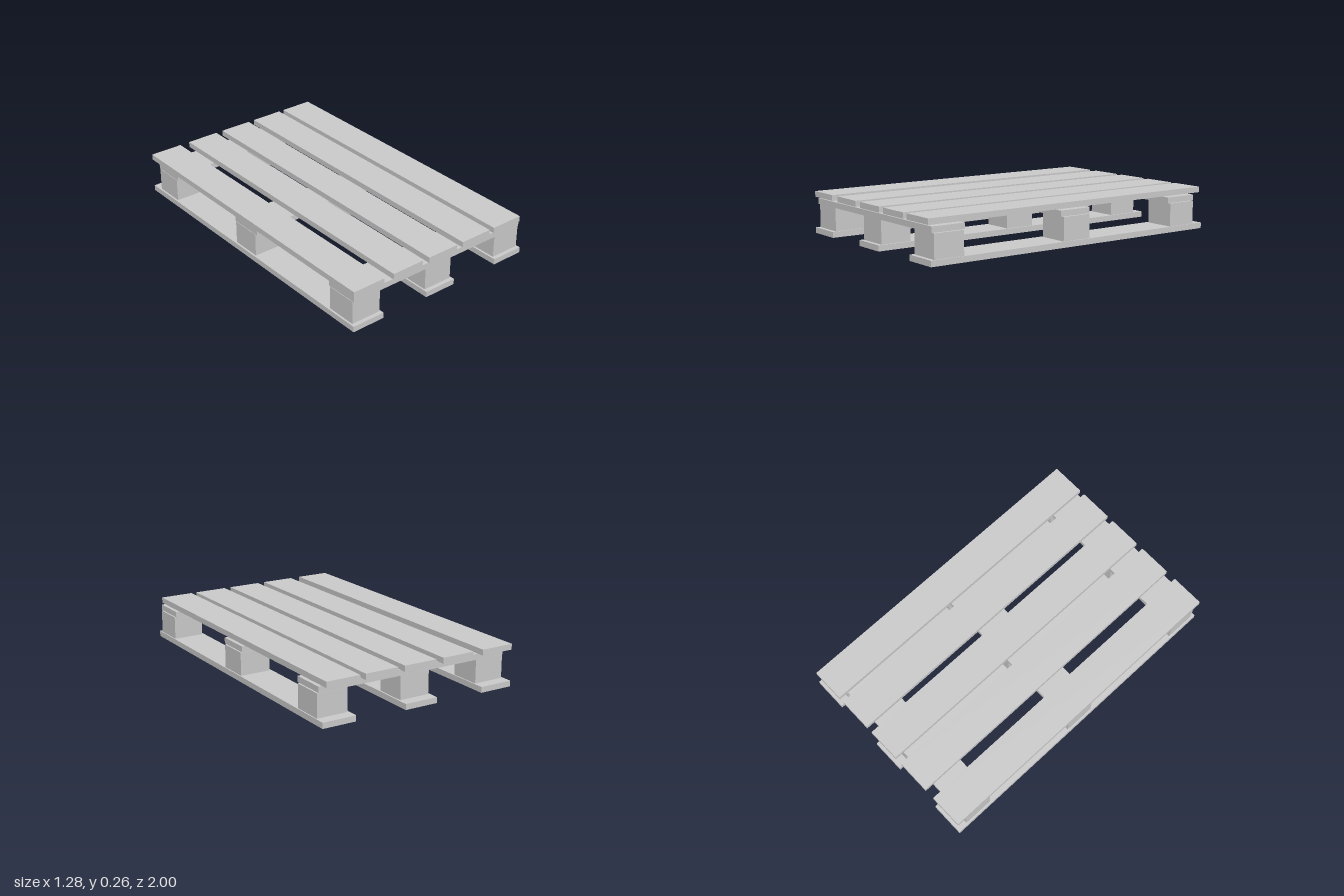
import * as THREE from 'three';

const material = new THREE.MeshStandardMaterial({ color: 0xcccccc, flatShading: true });

// Adds a box given by its size and centre
function addBox(parent, name, [w, h, d], [x, y, z]) {
  const mesh = new THREE.Mesh(new THREE.BoxGeometry(w, h, d), material);
  mesh.name = name;
  mesh.position.set(x, y, z);
  parent.add(mesh);
}

export function createModel() {
  const pallet = new THREE.Group();
  pallet.name = 'pallet';

  const boardWidth = 0.212;
  const boardThickness = 0.035;

  // Long deck boards on top, slightly unevenly spaced
  for (const x of [-0.536, -0.257, 0.004, 0.26, 0.507]) {
    addBox(pallet, 'deckBoard', [boardWidth, boardThickness, 2], [x, 0.24, 0]);
  }

  // Cross boards under the deck
  for (const z of [-0.832, 0.005, 0.879]) {
    addBox(pallet, 'crossBoard', [1.253, boardThickness, boardWidth], [-0.003, 0.197, z]);
  }

  // Three rows of spacer blocks
  for (const x of [-0.534, -0.007, 0.534]) {
    for (const z of [-0.837, -0.001, 0.879]) {
      addBox(pallet, 'spacerBlock', [0.192, 0.142, 0.192], [x, 0.106, z]);
    }
  }

  // Bottom runners
  for (const x of [-0.536, -0.007, 0.531]) {
    addBox(pallet, 'bottomRunner', [boardWidth, boardThickness, 2], [x, boardThickness / 2, 0]);
  }

  return pallet;
}
